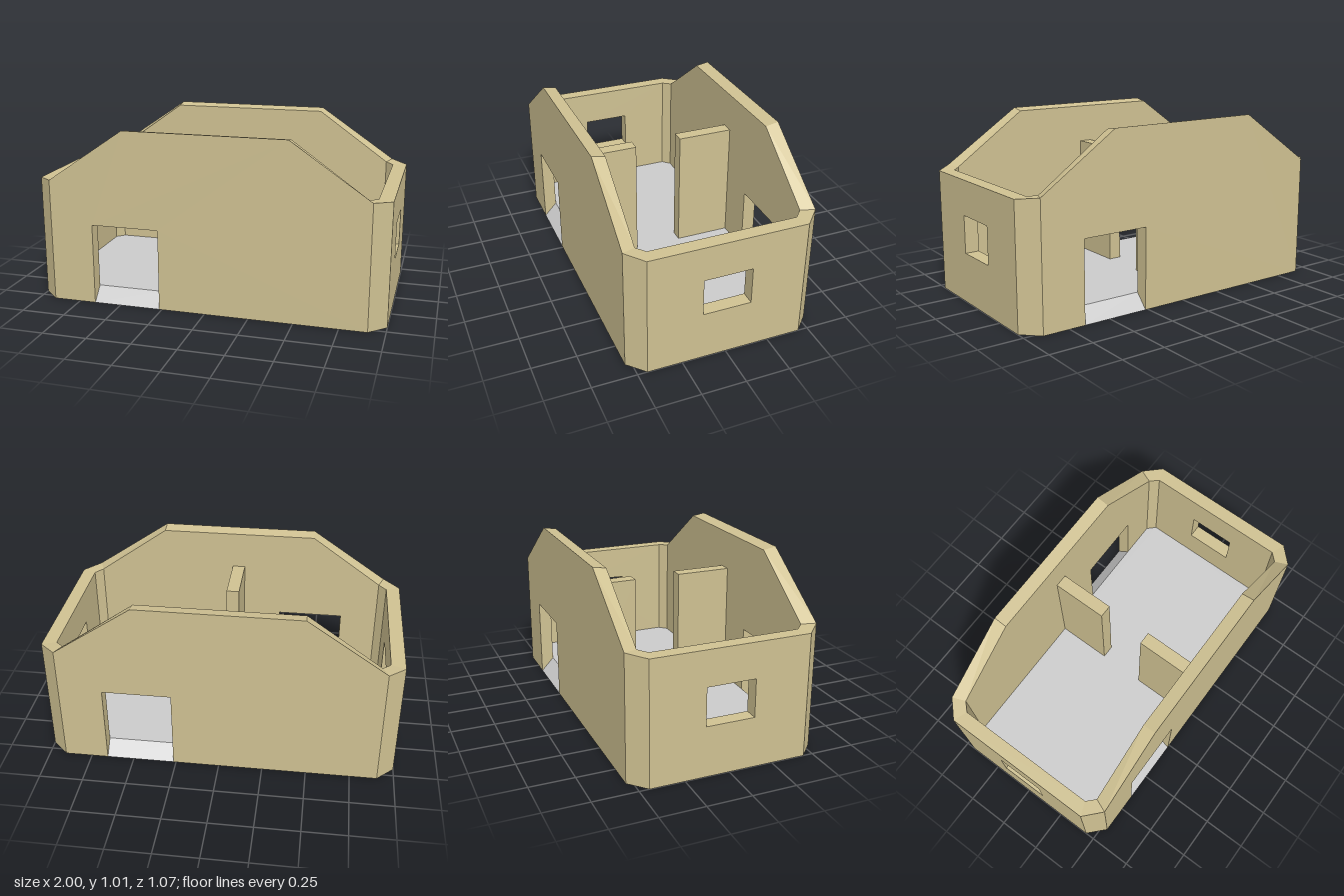
import * as THREE from 'three';
import { mergeGeometries } from 'three/addons/utils/BufferGeometryUtils.js';

const FLOOR = 0.08, ZO = 0.535, ZI = 0.46, XO = 1, XI = 0.92;
const DOOR = { l: -0.655, r: -0.265, top: 0.465 };
const WIN = { z: 0.137, lo: 0.285, hi: 0.5 };

// Rims of the outer and inner wall skins: front gable, corner, end wall, corner
const outerRim = [[-0.905, 0.71, ZO], [-0.46, 1.013, ZO], [0.46, 1.013, ZO], [0.905, 0.71, ZO],
  [XO, 0.7, 0.445], [XO, 0.7, -0.445], [0.905, 0.71, -ZO]];
const innerRim = [[-0.875, 0.705, ZI], [-0.46, 1.0, ZI], [0.46, 1.0, ZI], [0.875, 0.705, ZI],
  [XI, 0.7, 0.415], [XI, 0.7, -0.415], [0.875, 0.705, -ZI]];

// Flat four-cornered face, corners counter-clockwise
function quad(...p) {
  const g = new THREE.BufferGeometry();
  g.setAttribute('position', new THREE.Float32BufferAttribute([0, 1, 2, 0, 2, 3].flatMap(i => p[i]), 3));
  g.computeVertexNormals();
  return g;
}

function flat(points, hole) {
  const shape = new THREE.Shape(points.map(p => new THREE.Vector2(...p)));
  if (hole) shape.holes.push(new THREE.Path(hole.map(p => new THREE.Vector2(...p))));
  const g = new THREE.ShapeGeometry(shape).toNonIndexed();
  g.deleteAttribute('uv');
  return g;
}

// Gable skin with the doorway notched into its foot; s = -1 mirrors it
function gable(rim, foot, s) {
  const top = rim.slice(0, 4).map(p => [p[0], p[1]]);
  const pts = [...top, [top[3][0], foot], [DOOR.r, foot], [DOOR.r, DOOR.top],
    [DOOR.l, DOOR.top], [DOOR.l, foot], [top[0][0], foot]];
  return flat(pts.map(([x, y]) => [x * s, y]));
}

// End wall skin with a window hole
function endSkin(rim, foot) {
  const w = rim[4][2], h = rim[4][1], { z, lo, hi } = WIN;
  return flat([[-w, foot], [w, foot], [w, h], [-w, h]], [[-z, lo], [-z, hi], [z, hi], [z, lo]]);
}

function halfWalls() {
  const at = (p, y) => [p[0], y, p[2]];
  const parts = [
    gable(outerRim, 0, 1).translate(0, 0, ZO),
    gable(innerRim, FLOOR, -1).rotateY(Math.PI).translate(0, 0, ZI),
    endSkin(outerRim, 0).rotateY(Math.PI / 2).translate(XO, 0, 0),
    endSkin(innerRim, FLOOR).rotateY(-Math.PI / 2).translate(XI, 0, 0),
  ];
  // Wall tops
  for (let i = 0; i < 6; i++) parts.push(quad(outerRim[i], outerRim[i + 1], innerRim[i + 1], innerRim[i]));
  // Chamfered corners
  for (const i of [3, 5]) {
    const [a, b, c, d] = [outerRim[i], outerRim[i + 1], innerRim[i], innerRim[i + 1]];
    parts.push(quad(at(a, 0), at(b, 0), b, a), quad(at(d, FLOOR), at(c, FLOOR), c, d));
  }
  // Doorway sides and head
  const { l, r, top } = DOOR;
  parts.push(
    quad([l, 0, ZO], [l, FLOOR, ZI], [l, top, ZI], [l, top, ZO]),
    quad([r, FLOOR, ZI], [r, 0, ZO], [r, top, ZO], [r, top, ZI]),
    quad([l, top, ZI], [r, top, ZI], [r, top, ZO], [l, top, ZO]));
  // Window reveals
  const { z, lo, hi } = WIN;
  const ring = [[lo, z], [lo, -z], [hi, -z], [hi, z]];
  ring.forEach(([y, w], i) => {
    const [y2, w2] = ring[(i + 1) % 4];
    parts.push(quad([XO, y, w], [XO, y2, w2], [XI, y2, w2], [XI, y, w]));
  });
  return mergeGeometries(parts);
}

export function createModel() {
  const model = new THREE.Group();
  const wallMat = new THREE.MeshStandardMaterial({ color: 0xcfc192, side: THREE.DoubleSide });
  const grey = new THREE.MeshStandardMaterial({ color: 0xcccccc, side: THREE.DoubleSide });
  const add = (parent, name, geometry, material) => {
    const mesh = new THREE.Mesh(geometry, material);
    mesh.name = name;
    parent.add(mesh);
    return mesh;
  };

  // Raised floor, seen from below inside the hollow base
  const half = innerRim.slice(3, 6).map(p => [p[0], -p[2]]);
  half.push([innerRim[6][0], -innerRim[6][2]]);
  const outline = [...half, ...half.map(([x, y]) => [-x, -y])];
  add(model, 'floor', flat(outline).rotateX(-Math.PI / 2).translate(0, FLOOR, 0), grey);

  // The two halves of the building match under a half turn
  const walls = halfWalls();
  const ramp = quad([DOOR.l, 0, ZO], [DOOR.r, 0, ZO], [DOOR.r, FLOOR, ZI], [DOOR.l, FLOOR, ZI]);
  const partition = new THREE.BoxGeometry(0.075, 0.78 - FLOOR, ZI - 0.137)
    .translate(0, (0.78 + FLOOR) / 2, (ZI + 0.137) / 2);
  ['front', 'back'].forEach((side, i) => {
    const group = new THREE.Group();
    group.name = side + 'Half';
    group.rotation.y = i * Math.PI;
    add(group, side + 'Walls', walls, wallMat);
    add(group, side + 'DoorRamp', ramp, grey);
    add(group, side + 'Partition', partition, wallMat);
    model.add(group);
  });
  return model;
}
